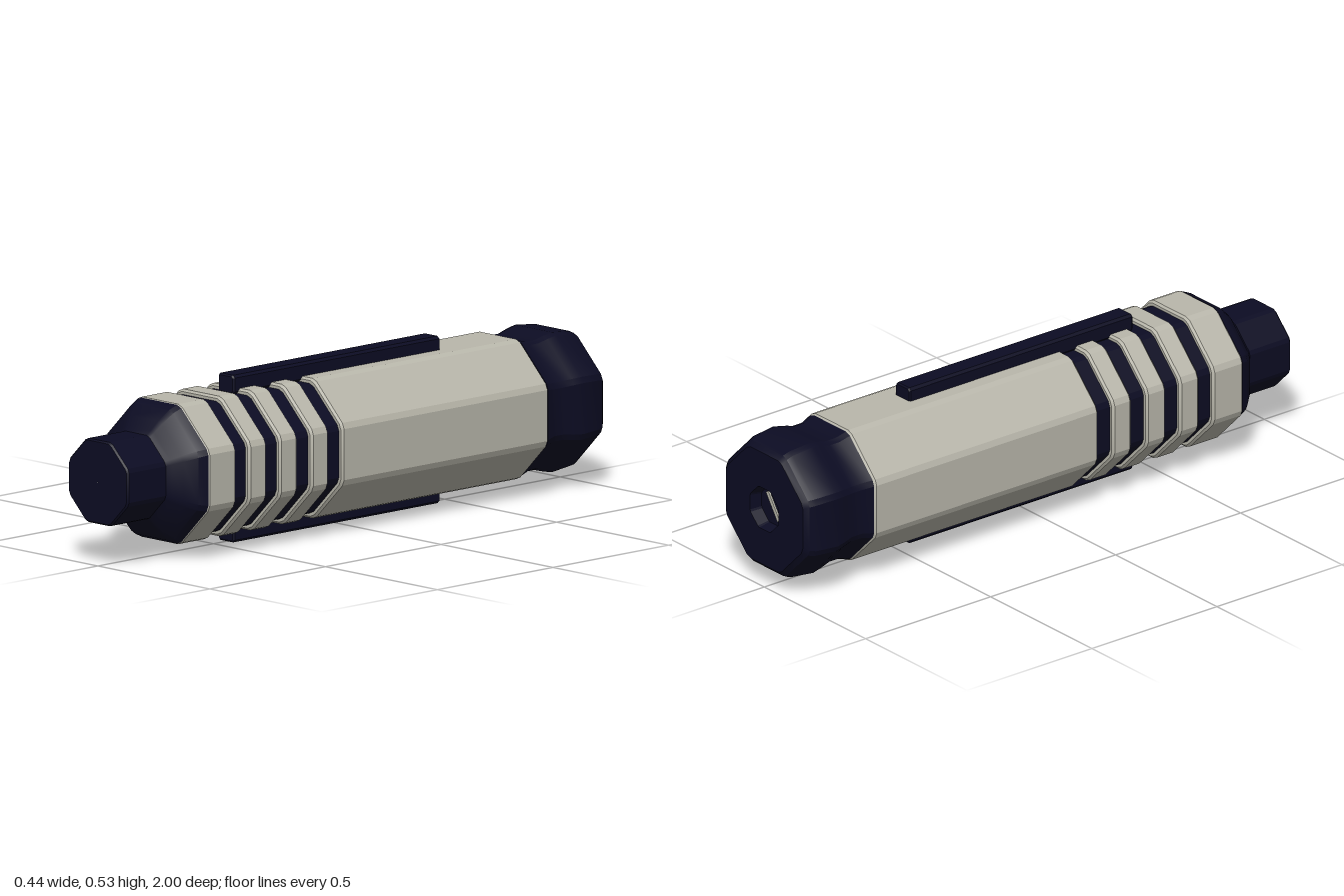
import * as THREE from 'three';
import { toCreasedNormals } from 'three/addons/utils/BufferGeometryUtils.js';

const CENTRE_Y = 0.265;
const APOTHEM = 0.222;

// Octagon with lightly chamfered corners, flats facing the axes
function octagon(a) {
  const cut = Math.min(0.011, a * 0.06);
  const half = a * Math.tan(Math.PI / 8) - cut;
  const points = [];
  for (let k = 0; k < 8; k++) {
    const t = k * Math.PI / 4, c = Math.cos(t), s = Math.sin(t);
    for (const h of [-half, half]) points.push([a * c - h * s, a * s + h * c]);
  }
  return points;
}

// Lofts octagons along z; profile holds [z, apothem] pairs from back to front
function loft(profile) {
  const positions = [], index = [];
  profile.forEach(([z, a]) => octagon(a).forEach(([x, y]) => positions.push(x, y, z)));
  for (let i = 0; i < profile.length - 1; i++) {
    for (let j = 0; j < 16; j++) {
      const p = i * 16 + j, q = i * 16 + (j + 1) % 16;
      index.push(p, q, q + 16, p, q + 16, p + 16);
    }
  }
  const geometry = new THREE.BufferGeometry();
  geometry.setAttribute('position', new THREE.Float32BufferAttribute(positions, 3));
  geometry.setIndex(index);
  return toCreasedNormals(geometry, 0.35);
}

// Closed octagonal band with softened rims
function band(z0, z1, a = APOTHEM, bevel = 0.007) {
  return loft([[z0, 0.001], [z0, a - bevel], [z0 + bevel, a],
    [z1 - bevel, a], [z1, a - bevel], [z1, 0.001]]);
}

export function createModel() {
  const model = new THREE.Group();
  const grey = new THREE.MeshStandardMaterial({ color: 0xb9b7ab });
  grey.name = 'warm grey';
  const navy = new THREE.MeshStandardMaterial({ color: 0x0c0c23 });
  navy.name = 'dark navy';

  function add(name, geometry, material, y = CENTRE_Y, z = 0) {
    const mesh = new THREE.Mesh(geometry, material);
    mesh.name = name;
    mesh.position.set(0, y, z);
    model.add(mesh);
    return mesh;
  }

  // Main barrel and the four grey rings in front of it
  add('barrel', band(-0.737, 0.157), grey);
  [[0.215, 0.29], [0.35, 0.427], [0.483, 0.56], [0.615, 0.738]].forEach(([z0, z1], i) =>
    add('gripRing' + (i + 1), band(z0, z1), grey));

  // Dark core showing in the grooves
  add('grooveCore', band(0.1, 0.7, 0.206), navy);

  // Shoulder tapering into the nose
  add('nose', loft([[0.735, 0.001], [0.735, 0.22], [0.765, 0.207], [0.8, 0.175],
    [0.822, 0.147], [0.835, 0.133], [0.994, 0.133], [1, 0.128], [1, 0.001]]), navy);

  // Waisted end cap with a shallow socket
  add('endCap', loft([[-0.96, 0.001], [-0.96, 0.062], [-1, 0.07], [-1, 0.19],
    [-0.985, 0.205], [-0.965, 0.214], [-0.885, 0.222], [-0.85, 0.215], [-0.815, 0.206],
    [-0.775, 0.206], [-0.737, 0.218], [-0.735, 0.001]]), navy);

  // Slim grey slot in the socket floor
  const slot = add('socketSlot', new THREE.BoxGeometry(0.014, 0.1, 0.008), grey, CENTRE_Y, -0.962);
  slot.rotation.z = -0.6;

  // Long bevelled rails above and below
  const w = 0.036, h = 0.03, c = 0.008;
  const section = new THREE.Shape([[-w + c, -h], [w - c, -h], [w, -h + c], [w, h - c],
    [w - c, h], [-w + c, h], [-w, h - c], [-w, -h + c]].map(([x, y]) => new THREE.Vector2(x, y)));
  const rail = new THREE.ExtrudeGeometry(section, {
    depth: 0.884, bevelThickness: 0.005, bevelSize: 0.005, bevelOffset: -0.005, bevelSegments: 1,
  });
  rail.translate(0, 0, -0.442);
  add('topRail', rail, navy, CENTRE_Y + 0.235);
  add('bottomRail', rail, navy, CENTRE_Y - 0.235);

  return model;
}
